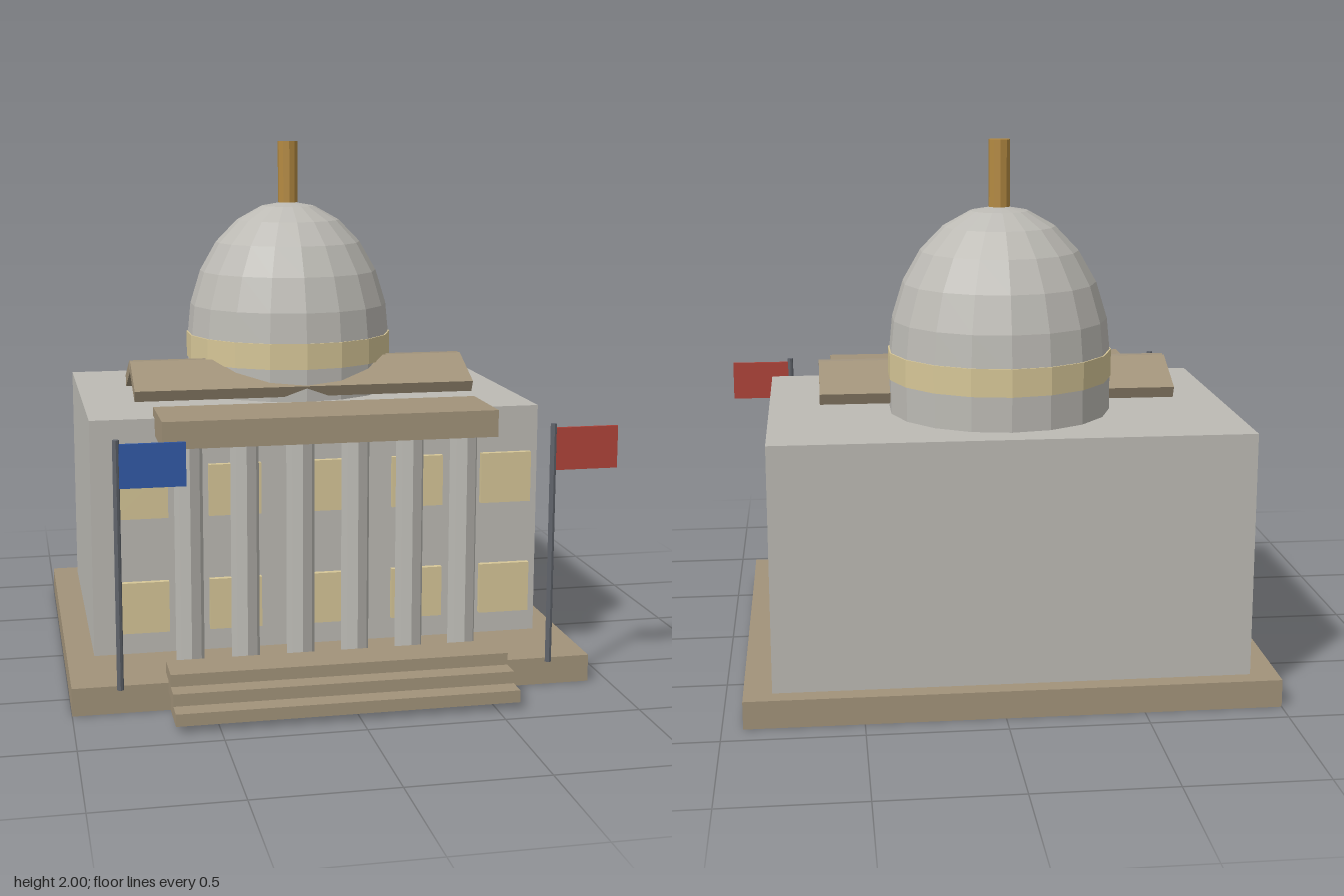
import * as THREE from 'three';

const paint = (name, color) => {
  const m = new THREE.MeshStandardMaterial({ color, flatShading: true });
  m.name = name;
  return m;
};

export function createModel() {
  const grey = paint('greyStone', 0xbcbab4);
  const tan = paint('tanStone', 0xa2937a);
  const cream = paint('cream', 0xd6c697);
  const gold = paint('gold', 0xb48a42);
  const steel = paint('darkSteel', 0x61656c);
  const blue = paint('blue', 0x3159a6);
  const red = paint('red', 0xb0443a);

  const model = new THREE.Group();
  model.name = 'domedHall';
  const add = (name, geometry, material, x, y, z) => {
    const mesh = new THREE.Mesh(geometry, material);
    mesh.name = name;
    mesh.position.set(x, y, z);
    model.add(mesh);
    return mesh;
  };
  // Box given by its minimum and maximum on each axis
  const block = (name, material, [x0, x1], [y0, y1], [z0, z1]) =>
    add(name, new THREE.BoxGeometry(x1 - x0, y1 - y0, z1 - z0), material,
      (x0 + x1) / 2, (y0 + y1) / 2, (z0 + z1) / 2);
  const post = (name, material, r, sides, x, [y0, y1], z) =>
    add(name, new THREE.CylinderGeometry(r, r, y1 - y0, sides), material, x, (y0 + y1) / 2, z);

  const cx = -0.037; // building axis
  const domeZ = -0.323;
  const porch = [cx - 0.62, cx + 0.62];

  // Plinth and main hall
  block('plinth', tan, [-1, 0.926], [0, 0.102], [-0.909, 0.676]);
  block('hall', grey, [cx - 0.861, cx + 0.861], [0.1, 1], [-0.842, 0.332]);

  // Overlapping front steps
  for (let i = 0; i < 3; i++) {
    const z = 0.602 + i * 0.0765;
    const y = 0.114 - i * 0.0445;
    block('step', tan, porch, [y, y + 0.0445], [z, z + 0.155]);
  }

  // Portico columns and the slab above
  for (let i = 0; i < 6; i++) {
    post('column', grey, 0.0525, 8, cx + (i - 2.5) * 0.207, [0.1, 0.94], 0.492);
  }
  block('porticoSlab', tan, porch, [0.935, 1.035], [0.283, 0.594]);

  // Two rows of window panels
  for (const y of [0.23, 0.66]) {
    for (let i = 0; i < 5; i++) {
      const x = cx + (i - 2) * 0.344;
      block('window', cream, [x - 0.097, x + 0.097], [y, y + 0.191], [0.464, 0.486]);
    }
  }

  // Two sloping gable panels
  for (const side of [1, -1]) {
    const panel = add('gablePanel', new THREE.BoxGeometry(1.342, 0.047, 0.212), tan,
      cx, 1.085, -0.115 + side * 0.104);
    panel.rotation.x = side * 0.43;
  }

  // Drum, band, faceted dome and spire
  post('drum', grey, 0.414, 18, cx, [1, 1.2], domeZ);
  post('domeBand', cream, 0.418, 18, cx, [1.127, 1.228], domeZ);
  const profile = [];
  for (let i = 0; i <= 6; i++) {
    const a = (i * Math.PI) / 12;
    profile.push(new THREE.Vector2(i === 6 ? 0 : 0.415 * Math.cos(a), 0.56 * Math.sin(a)));
  }
  add('dome', new THREE.LatheGeometry(profile, 18), grey, cx, 1.2, domeZ);
  post('spire', gold, 0.04, 10, cx, [1.755, 2], domeZ);

  // Flags on poles
  for (const [x, width, material] of [[-0.83, 0.243, blue], [0.755, 0.245, red]]) {
    post('flagPole', steel, 0.012, 8, x, [0.1, 1], 0.71);
    block('flag', material, [x, x + width], [0.828, 0.985], [0.704, 0.716]);
  }
  return model;
}
